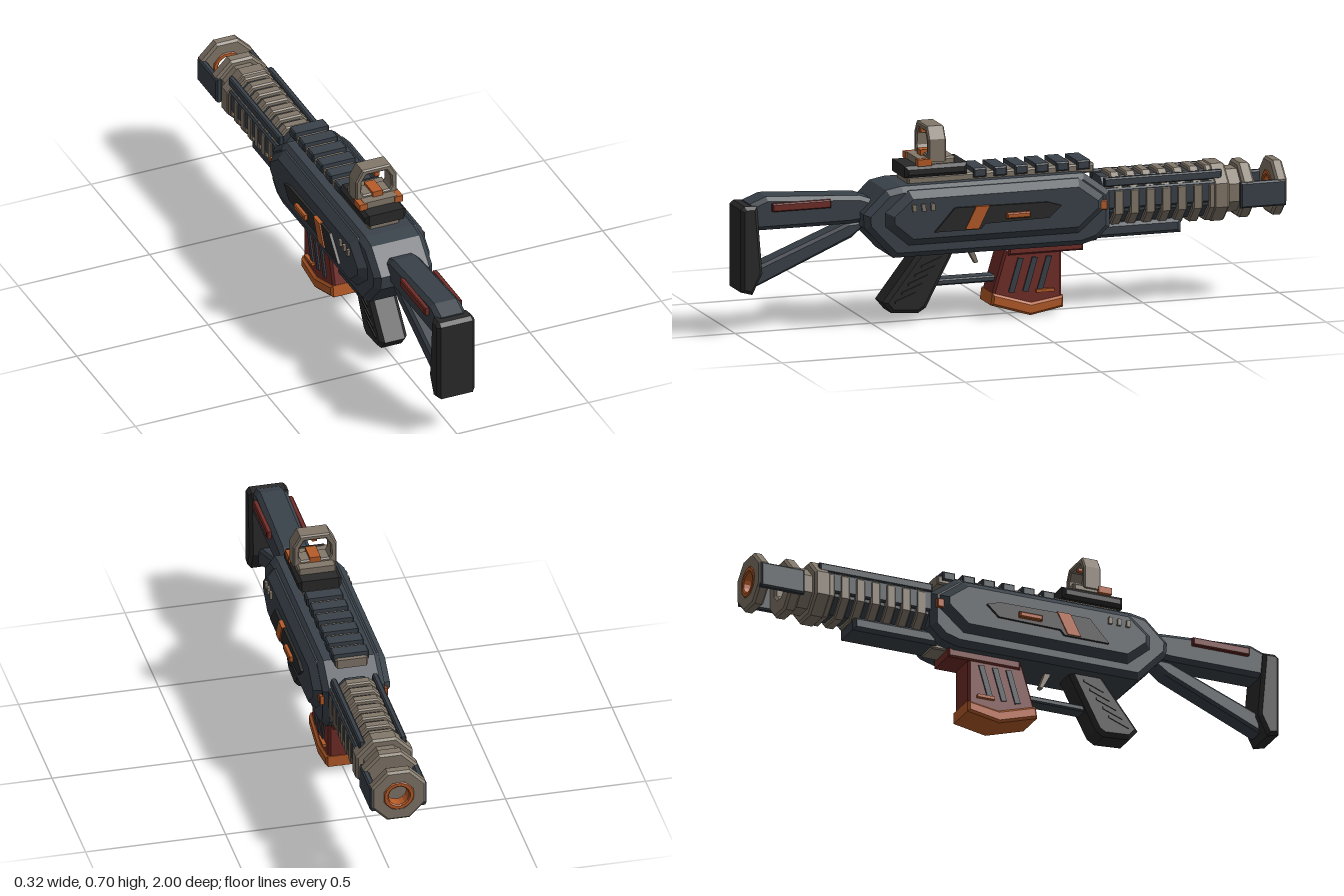
import * as THREE from 'three';

const mat = (name, color) => {
  const m = new THREE.MeshStandardMaterial({ color });
  m.name = name;
  return m;
};

export function createModel() {
  const slate = mat('slate', 0x3a424a), black = mat('black', 0x2a2a2b), tan = mat('tan', 0x83786a);
  const red = mat('red', 0x722d28), orange = mat('orange', 0xb85c28);
  const root = new THREE.Group();
  root.name = 'carbine';

  const add = (name, geo, material) => {
    const m = new THREE.Mesh(geo, material);
    m.name = name;
    root.add(m);
    return m;
  };
  const V = (pts) => pts.map(([a, b]) => new THREE.Vector2(a, b));

  // Chamfered extrusion, centred on its depth; the outline keeps its full size
  const slab = (pts, depth, b, hole) => {
    const s = new THREE.Shape(V(pts));
    if (hole) s.holes.push(new THREE.Path(V(hole)));
    const d = depth - 2 * b;
    const g = new THREE.ExtrudeGeometry(s, {
      depth: d, bevelEnabled: b > 0, bevelThickness: b, bevelSize: b, bevelOffset: -b, bevelSegments: 1,
    });
    return g.translate(0, 0, -d / 2);
  };
  // Side profile in (z, y), given full width across x
  const side = (name, pts, width, b, material, x = 0) =>
    add(name, slab(pts, width, b).rotateY(-Math.PI / 2).translate(x, 0, 0), material);
  // Chamfered box from its limits
  const block = (name, x0, x1, y0, y1, z0, z1, b, material) =>
    side(name, [[z0, y0], [z1, y0], [z1, y1], [z0, y1]], x1 - x0, b, material, (x0 + x1) / 2);
  // Octagon with flats on top and sides, r = distance to the flats
  const octagon = (r, n = 8) => Array.from({ length: n }, (_, i) => {
    const a = (i + 0.5) * 2 * Math.PI / n, R = r / Math.cos(Math.PI / n);
    return [R * Math.cos(a), R * Math.sin(a)];
  });
  const axisY = 0.385;
  const ring = (name, r, hole, z0, z1, b, material, n = 8) =>
    add(name, slab(octagon(r, n), z1 - z0, b, hole && octagon(hole, n)).translate(0, axisY, (z0 + z1) / 2), material);

  // Stock
  side('buttPad', [[1, 0.158], [1, 0.45], [0.985, 0.462], [0.94, 0.46], [0.92, 0.22], [0.957, 0.146]], 0.144, 0.012, black);
  side('stockArm', [[0.96, 0.37], [0.96, 0.465], [0.9, 0.488], [0.556, 0.468], [0.48, 0.44], [0.5, 0.38], [0.59, 0.37]], 0.112, 0.015, slate);
  side('stockStrut', [[0.94, 0.235], [0.594, 0.372], [0.52, 0.37], [0.583, 0.318], [0.94, 0.165]], 0.08, 0.01, slate);

  // Receiver core with a thicker raised panel through it
  side('receiver', [[0.56, 0.41], [0.476, 0.49], [0.42, 0.5], [-0.25, 0.5], [-0.345, 0.43], [-0.345, 0.305],
    [-0.3, 0.262], [-0.24, 0.245], [0.45, 0.248], [0.556, 0.36]], 0.222, 0.02, slate);
  side('raisedPanel', [[0.485, 0.415], [0.4, 0.487], [-0.225, 0.487], [-0.315, 0.42], [-0.315, 0.37],
    [-0.225, 0.293], [0.4, 0.293], [0.485, 0.365]], 0.274, 0.026, slate);

  // Painted and fitted side details, mirrored
  for (const s of [1, -1]) {
    const at = (x) => s * x;
    side('stockStrip', [[0.885, 0.437], [0.885, 0.466], [0.67, 0.466], [0.67, 0.437]], 0.02, 0.004, red, at(0.062));
    side('sideInlay', [[0.315, 0.34], [0.24, 0.422], [-0.1, 0.418], [-0.15, 0.403], [-0.105, 0.362], [0.13, 0.358], [0.145, 0.34]], 0.014, 0, black, at(0.14));
    side('slashMark', [[0.205, 0.343], [0.165, 0.422], [0.115, 0.422], [0.155, 0.343]], 0.02, 0, orange, at(0.142));
    block('sideHandle', at(0.15) - 0.012, at(0.15) + 0.012, 0.372, 0.392, -0.032, 0.055, 0.004, orange);
    block('frontLatch', at(0.112) - 0.01, at(0.112) + 0.01, 0.37, 0.403, -0.328, -0.285, 0.003, orange);
    for (let i = 0; i < 3; i++) {
      const z = 0.39 - i * 0.034;
      side('vent', [[z + 0.008, 0.443], [z - 0.007, 0.443], [z - 0.009, 0.418], [z + 0.005, 0.418]], 0.02, 0, tan, at(0.137));
    }
    // Magazine ribs and mark
    for (let i = 0; i < 3; i++) {
      const z = 0.005 - i * 0.052;
      side('magazineRib', [[z + 0.01, 0.088], [z - 0.01, 0.084], [z - 0.045, 0.205], [z - 0.025, 0.207]], 0.012, 0, slate, at(0.056));
    }
    block('magazineMark', at(0.06) - 0.009, at(0.06) + 0.009, 0.081, 0.092, -0.15, -0.085, 0, orange);
    // Slanted grip ridges
    for (let i = 0; i < 5; i++) {
      const y = 0.075 + i * 0.03, z = 0.43 - i * 0.024;
      side('gripRidge', [[z, y], [z - 0.075, y + 0.028], [z - 0.075, y + 0.036], [z, y + 0.008]], 0.01, 0, black, at(0.051));
    }
    // Handguard and muzzle side bars
    block('handguardBar', at(0.083) - 0.012, at(0.083) + 0.012, 0.362, 0.437, -0.755, -0.33, 0.006, slate);
    block('upperBar', at(0.074) - 0.011, at(0.074) + 0.011, 0.44, 0.472, -0.76, -0.33, 0.005, slate);
    block('muzzlePlate', at(0.089) - 0.012, at(0.089) + 0.012, 0.332, 0.424, -0.992, -0.825, 0.006, slate);
    // Sight knobs
    block('sightKnob', at(0.067) - 0.015, at(0.067) + 0.015, 0.563, 0.587, 0.305, 0.355, 0, orange);
  }

  // Top rail
  block('railBase', -0.058, 0.058, 0.49, 0.523, -0.3, 0.385, 0.006, tan);
  for (let i = 0; i < 6; i++) {
    const z = 0.145 - i * 0.076;
    block('railTooth', -0.066, 0.066, 0.505, 0.538, z - 0.048, z, 0.005, slate);
  }

  // Sight
  block('sightBase', -0.078, 0.078, 0.522, 0.564, 0.17, 0.4, 0.012, black);
  block('sightPlatform', -0.068, 0.068, 0.56, 0.588, 0.215, 0.35, 0.006, tan);
  const frame = [[-0.078, 0.575], [0.078, 0.575], [0.078, 0.655], [0.053, 0.698], [-0.053, 0.698], [-0.078, 0.655]];
  const opening = [[-0.05, 0.598], [0.05, 0.598], [0.057, 0.61], [0.055, 0.65], [0.038, 0.677], [-0.038, 0.677], [-0.055, 0.65], [-0.057, 0.61]];
  add('sightFrame', slab(frame, 0.065, 0.005, opening).translate(0, 0, 0.283), tan);
  block('sightNotch', -0.009, 0.009, 0.667, 0.683, 0.26, 0.32, 0, orange);
  block('sightEmitter', -0.019, 0.019, 0.585, 0.608, 0.25, 0.325, 0, orange);

  // Ribbed handguard around the barrel
  ring('barrelCore', 0.083, 0.035, -0.75, -0.33, 0, slate);
  for (let i = 0; i < 7; i++) {
    const z = -0.36 - i * 0.058;
    ring('coolingRing', 0.098, 0.05, z - 0.037, z, 0.005, tan);
  }
  block('lowerHandguard', -0.06, 0.06, 0.254, 0.305, -0.62, -0.3, 0.012, slate);

  // Open muzzle
  ring('collar', 0.102, 0.035, -0.785, -0.725, 0.008, tan);
  ring('neck', 0.076, 0.035, -0.845, -0.78, 0, tan);
  ring('rearMuzzleRing', 0.097, 0.035, -0.878, -0.832, 0.008, tan);
  ring('frontMuzzleRing', 0.097, 0.045, -0.997, -0.955, 0.008, tan);
  ring('muzzleInsert', 0.055, 0.036, -1, -0.952, 0.004, orange, 16);

  // Magazine
  block('magazineCollar', -0.062, 0.062, 0.218, 0.255, -0.26, 0.015, 0.006, red);
  side('magazine', [[0.025, 0.24], [0.075, 0.075], [-0.065, 0.03], [-0.182, 0.05], [-0.182, 0.24]], 0.112, 0.008, red);
  side('magazineBase', [[0.08, 0.045], [0.074, 0.088], [-0.068, 0.045], [-0.186, 0.063], [-0.186, 0.022], [-0.065, 0]], 0.132, 0.008, orange);
  block('magazineCatch', -0.045, 0.045, 0.245, 0.278, -0.315, -0.2, 0.005, tan);

  // Grip, trigger and guard
  side('grip', [[0.32, 0.275], [0.2, 0.275], [0.21, 0.245], [0.312, 0.05], [0.34, 0.033], [0.44, 0.04], [0.472, 0.078], [0.455, 0.1]], 0.104, 0.014, black);
  side('trigger', [[0.16, 0.26], [0.135, 0.26], [0.11, 0.192], [0.122, 0.188]], 0.024, 0, tan);
  block('triggerGuard', -0.03, 0.03, 0.122, 0.144, 0.03, 0.275, 0.005, slate);

  return root;
}
